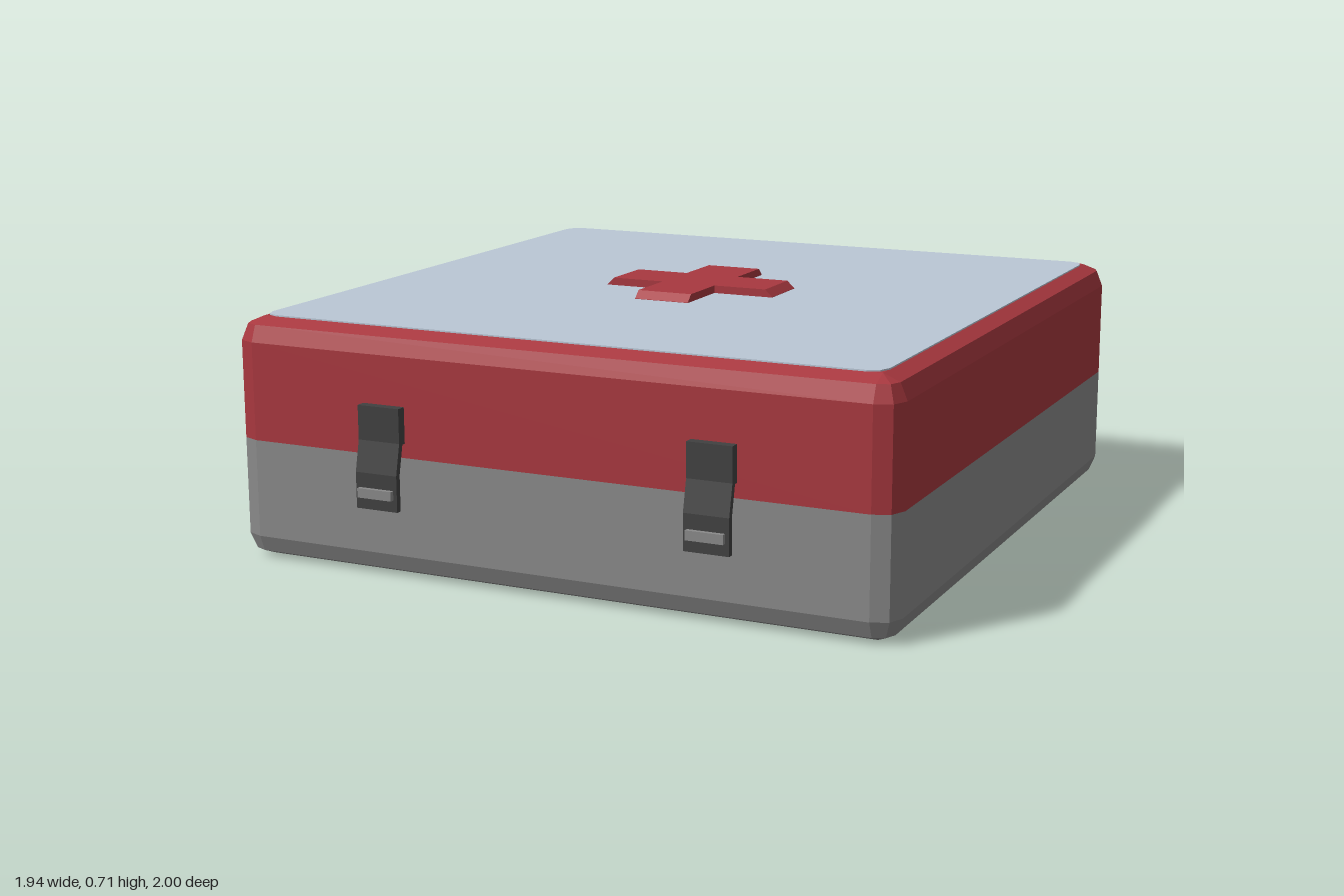
import * as THREE from 'three';

const HALF = 0.97, R = 0.065, CORE = HALF - R, TOP = 0.68, SPLIT = 0.34, ZC = -0.03;
const D = R * Math.SQRT1_2;

// Closed rounded-square outline, with corner arcs of the given radius around the core
function outline(y, radius, core = CORE) {
  const pts = [];
  for (let c = 0; c < 4; c++) {
    const mid = Math.PI / 4 + c * Math.PI / 2;
    for (let k = -1; k <= 1; k++) {
      const a = mid + k * Math.PI / 4;
      pts.push(new THREE.Vector3(
        Math.SQRT2 * core * Math.cos(mid) + radius * Math.cos(a), y,
        Math.SQRT2 * core * Math.sin(mid) + radius * Math.sin(a)));
    }
  }
  return pts;
}

// Faceted skin through a list of outlines, from bottom to top
function loft(rings) {
  const pos = [];
  const tri = (a, b, c) => {
    const t = new THREE.Triangle(a, b, c);
    if (t.getArea() > 1e-8) pos.push(...a, ...b, ...c);
  };
  for (let i = 0; i < rings.length - 1; i++) {
    const lo = rings[i], hi = rings[i + 1], n = lo.length;
    for (let j = 0; j < n; j++) {
      const k = (j + 1) % n;
      tri(lo[j], hi[j], hi[k]);
      tri(lo[j], hi[k], lo[k]);
    }
  }
  const g = new THREE.BufferGeometry();
  g.setAttribute('position', new THREE.Float32BufferAttribute(pos, 3));
  g.computeVertexNormals();
  return g;
}

// Side profile given as [z, y] points, extruded along x and centred
function sideExtrude(points, width) {
  const shape = new THREE.Shape(points.map(p => new THREE.Vector2(...p)));
  const g = new THREE.ExtrudeGeometry(shape, { depth: width, bevelEnabled: false });
  return g.translate(0, 0, -width / 2).rotateY(-Math.PI / 2);
}

export function createModel() {
  const mat = (name, color) => {
    const m = new THREE.MeshStandardMaterial({ color });
    m.name = name;
    return m;
  };
  const red = mat('red', 0xa8383f), grey = mat('grey', 0x8a8a8a);
  const blue = mat('paleBlue', 0xbac7d6), dark = mat('darkGrey', 0x414141);

  const model = new THREE.Group();
  model.name = 'firstAidCase';
  const add = (name, geometry, material, parent = model) => {
    const m = new THREE.Mesh(geometry, material);
    m.name = name;
    parent.add(m);
    return m;
  };

  // Case halves
  add('base', loft([
    outline(0, 0, 0), outline(0, 0), outline(R - D, D), outline(R, R), outline(SPLIT, R),
  ]), grey).position.z = ZC;
  add('lid', loft([
    outline(SPLIT, R), outline(TOP - R, R), outline(TOP - R + D, D), outline(TOP, 0), outline(TOP, 0, 0),
  ]), red).position.z = ZC;

  // Thin panel on the lid
  const pr = 0.045, pc = CORE + 0.003 - pr;
  add('lidPanel', loft([
    outline(TOP, pr, pc), outline(TOP + 0.004, pr, pc), outline(TOP + 0.004, 0, 0),
  ]), blue).position.z = ZC;

  // Raised cross: centre block and four arms with sloping ends
  const cross = new THREE.Group();
  cross.name = 'cross';
  cross.position.set(0, TOP, ZC);
  model.add(cross);
  const w = 0.083, h = 0.026;
  add('crossCentre', new THREE.BoxGeometry(2 * w, h, 2 * w).translate(0, h / 2, 0), red, cross);
  const arm = sideExtrude([[w, 0], [0.265, 0], [0.265, 0.005], [0.243, h], [w, h]], 2 * w);
  for (let i = 0; i < 4; i++) add('crossArm', arm, red, cross).rotation.y = i * Math.PI / 2;

  // Front latches: bent plate with a small pull bar
  const plate = sideExtrude([
    [0.938, 0.48], [0.938, 0.38], [0.952, 0.38], [0.97, 0.30], [0.97, 0.20],
    [0.987, 0.20], [0.987, 0.30], [0.968, 0.385], [0.968, 0.48],
  ], 0.127);
  for (const s of [-1, 1]) {
    const latch = new THREE.Group();
    latch.name = s > 0 ? 'leftLatch' : 'rightLatch';
    latch.position.x = s * 0.485;
    model.add(latch);
    add('latchPlate', plate, dark, latch);
    add('latchBar', new THREE.BoxGeometry(0.105, 0.026, 0.042), grey, latch).position.set(0, 0.246, 0.979);
  }
  return model;
}
